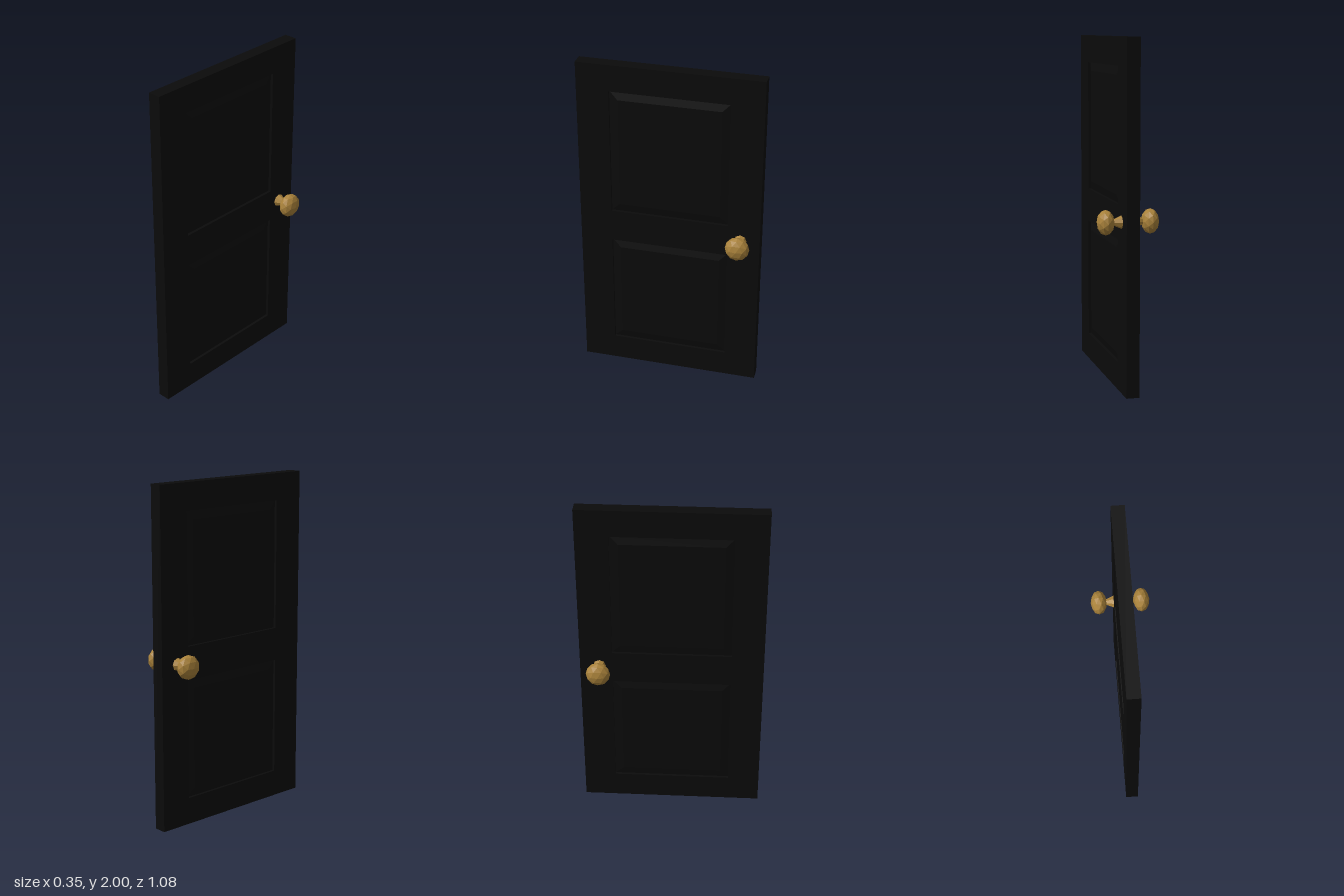
import * as THREE from 'three';

const black = new THREE.MeshStandardMaterial({ color: 0x0b0b0b, flatShading: true });
const brass = new THREE.MeshStandardMaterial({ color: 0xa8813a, flatShading: true });

const W = 1.08, H = 2, T = 0.076;
const panels = [[0.16, 0.87], [1.07, 1.84]]; // bottom and top of each inset panel
const panelHalf = 0.35;

function rect(Type, x0, y0, x1, y1) {
  return new Type([[x0, y0], [x1, y0], [x1, y1], [x0, y1]].map(p => new THREE.Vector2(...p)));
}

// Extrudes a shape drawn in (z, y) so that its thickness is centred on x = 0
function slab(name, shape, depth, bevel) {
  const geo = new THREE.ExtrudeGeometry(shape, { depth, bevelEnabled: false, ...bevel });
  geo.translate(0, 0, -depth / 2).rotateY(Math.PI / 2);
  const mesh = new THREE.Mesh(geo, black);
  mesh.name = name;
  return mesh;
}

function createKnob(side) {
  const knob = new THREE.Group();
  knob.name = side > 0 ? 'leftKnob' : 'rightKnob';

  // Stem flaring towards the door
  const stemGeo = new THREE.CylinderGeometry(0.014, 0.039, 0.056, 8).rotateZ(-Math.PI / 2);
  const stem = new THREE.Mesh(stemGeo, brass);
  stem.name = 'stem';
  stem.position.x = 0.064;

  // Faceted, flattened grip
  const gripGeo = new THREE.IcosahedronGeometry(1, 1).scale(0.049, 0.072, 0.072);
  const grip = new THREE.Mesh(gripGeo, brass);
  grip.name = 'grip';
  grip.position.x = 0.128;

  knob.add(stem, grip);
  knob.position.set(0, 0.98, -0.425);
  if (side < 0) knob.rotation.y = Math.PI;
  return knob;
}

export function createModel() {
  const door = new THREE.Group();
  door.name = 'door';

  // Frame with two openings
  const frame = rect(THREE.Shape, -W / 2, 0, W / 2, H);
  for (const [y0, y1] of panels) frame.holes.push(rect(THREE.Path, -panelHalf, y0, panelHalf, y1));
  door.add(slab('doorFrame', frame, T));

  // Raised panels with sloping borders, shallowly set into both faces
  for (const [y0, y1] of panels) {
    const shape = rect(THREE.Shape, -panelHalf, y0, panelHalf, y1);
    door.add(slab('doorPanel', shape, T - 0.032, {
      bevelEnabled: true, bevelSegments: 1, bevelThickness: 0.012, bevelSize: 0.05, bevelOffset: -0.05,
    }));
  }

  for (const side of [1, -1]) door.add(createKnob(side));
  return door;
}
